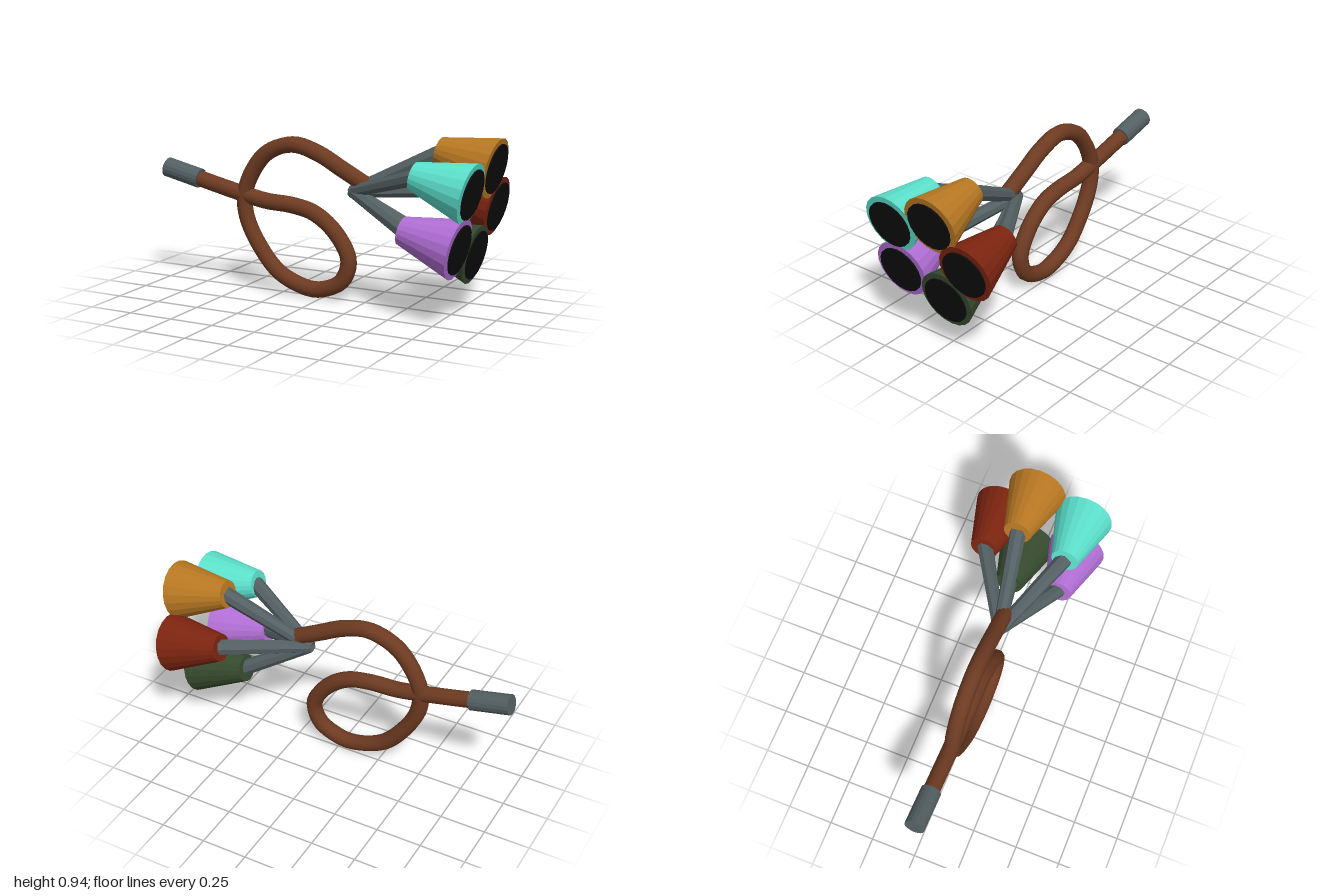
import * as THREE from 'three';

const mat = (name, color, flatShading = true) => {
  const m = new THREE.MeshStandardMaterial({ color, flatShading });
  m.name = name;
  return m;
};

// cylinder or cone running from point a to point b
function rod(name, a, b, ra, rb, sides, material) {
  const dir = b.clone().sub(a);
  const mesh = new THREE.Mesh(new THREE.CylinderGeometry(rb, ra, dir.length(), sides), material);
  mesh.position.copy(a).lerp(b, 0.5);
  mesh.quaternion.setFromUnitVectors(new THREE.Vector3(0, 1, 0), dir.normalize());
  mesh.name = name;
  return mesh;
}

export function createModel() {
  const group = new THREE.Group();
  group.name = 'fiveBellHorn';
  const V = (x, y, z = 0.025) => new THREE.Vector3(x, y, z);
  const grey = mat('grey metal', 0x535f62);
  const black = mat('black', 0x0c0c0c);
  const brown = mat('brown', 0x6e3b22, false);

  // mouthpiece
  group.add(rod('mouthpiece', V(-0.985, 0.655), V(-0.767, 0.606), 0.055, 0.055, 16, grey));

  // looping pipe
  const path = new THREE.CatmullRomCurve3([
    [-0.8, 0.613], [-0.634, 0.575], [-0.484, 0.543], [-0.34, 0.517], [-0.18, 0.508], [-0.045, 0.477],
    [0.085, 0.38], [0.163, 0.24], [0.126, 0.122], [0.03, 0.066], [-0.07, 0.053], [-0.26, 0.122],
    [-0.393, 0.27], [-0.468, 0.42], [-0.478, 0.54], [-0.436, 0.66], [-0.335, 0.785], [-0.174, 0.842],
    [-0.02, 0.805], [0.125, 0.73], [0.27, 0.655],
  ].map(([x, y]) => V(x, y)));
  const pipe = new THREE.Mesh(new THREE.TubeGeometry(path, 100, 0.045, 10), brown);
  pipe.name = 'loopedPipe';
  group.add(pipe);

  // five bells sharing one tilted mouth plane, each on its own stem
  const axis = new THREE.Vector3(0.977, -0.211, 0).normalize();
  const hub = V(0.185, 0.617);
  const bells = [
    ['orange', 0xb87823, 0.79, -0.055],
    ['turquoise', 0x5ce0cc, 0.702, 0.225],
    ['violet', 0xb06ed4, 0.416, 0.225],
    ['dark green', 0x364a2e, 0.33, -0.055],
    ['dark red', 0x7c2410, 0.56, -0.225],
  ];
  for (const [color, hex, y, z] of bells) {
    const mouth = V(0.822 + 0.2155 * (y - 0.18), y, z);
    const throat = mouth.clone().addScaledVector(axis, -0.316);
    const bell = new THREE.Group();
    bell.name = 'bell';
    bell.add(rod('bellCone', throat, mouth, 0.075, 0.161, 20, mat(color, hex)));
    bell.add(rod('bellOpening', mouth.clone().addScaledVector(axis, 0.004),
      mouth.clone().addScaledVector(axis, 0.012), 0.132, 0.132, 20, black));
    bell.add(rod('stem', hub, throat.clone().addScaledVector(axis, 0.02), 0.034, 0.045, 8, grey));
    group.add(bell);
  }
  return group;
}
